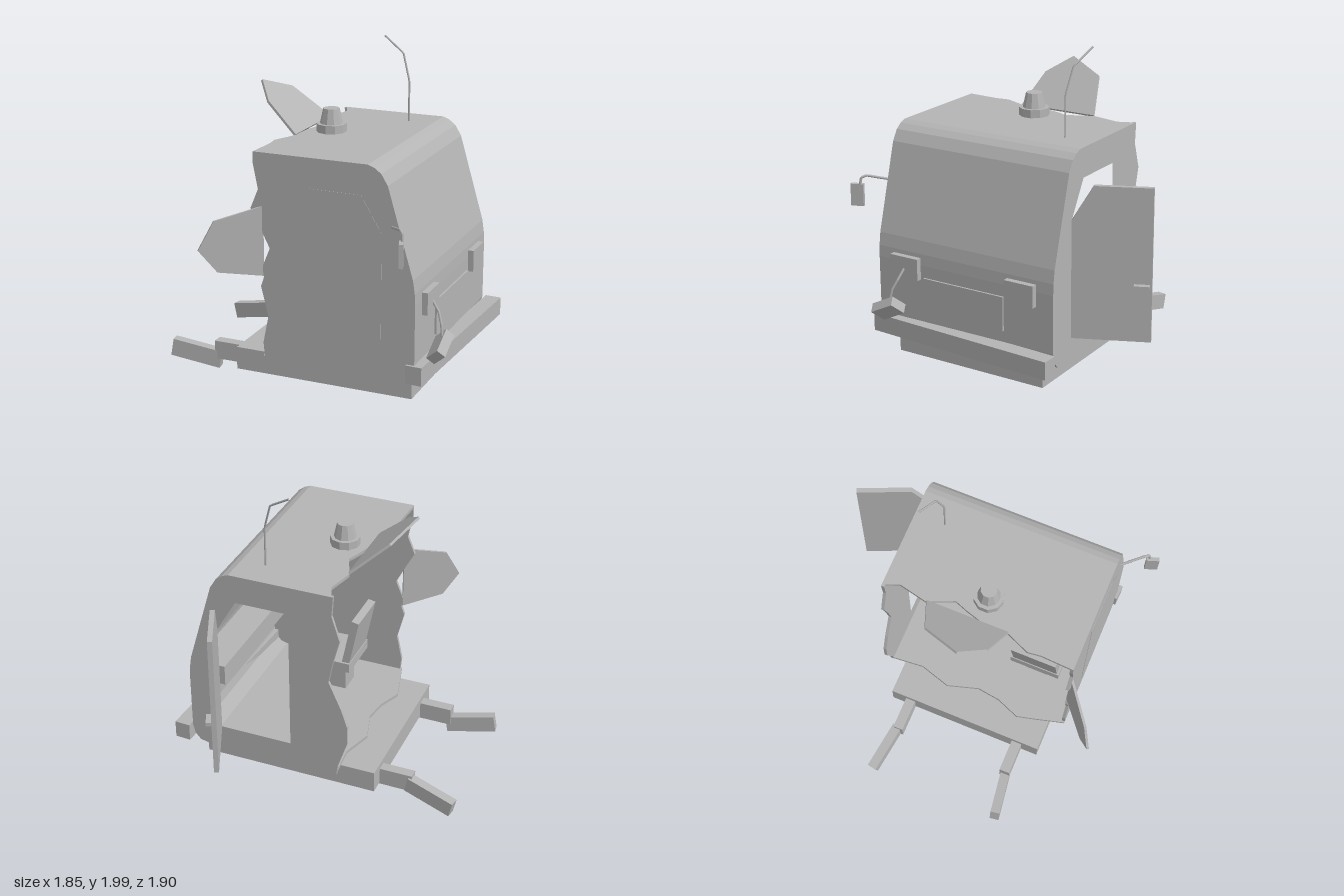
import * as THREE from 'three';

const NEAR = 0.705, FAR = -0.522, WALL = 0.02, FLOOR = 0.225, ROOF = 1.49;

export function createModel() {
  const model = new THREE.Group();
  const paint = new THREE.MeshStandardMaterial({ color: 0xb4b4b4 });
  paint.name = 'plainGrey';

  const add = (name, geometry, x = 0, y = 0, z = 0, parent = model) => {
    const mesh = new THREE.Mesh(geometry, paint);
    mesh.name = name;
    mesh.position.set(x, y, z);
    parent.add(mesh);
    return mesh;
  };
  // Box given by its limits on each axis
  const block = (name, x0, x1, y0, y1, z0, z1, parent) =>
    add(name, new THREE.BoxGeometry(x1 - x0, y1 - y0, z1 - z0),
      (x0 + x1) / 2, (y0 + y1) / 2, (z0 + z1) / 2, parent);
  const vectors = (pts) => pts.map(([a, b]) => new THREE.Vector2(a, b));
  // Upright sheet drawn in x and y
  const sheet = (pts, depth, hole) => {
    const shape = new THREE.Shape(vectors(pts));
    if (hole) shape.holes.push(new THREE.Path(vectors(hole)));
    return new THREE.ExtrudeGeometry(shape, { depth, bevelEnabled: false });
  };
  // Level sheet drawn in x and z, thickness going down
  const levelSheet = (pts, depth) => sheet(pts, depth).rotateX(Math.PI / 2);
  // Straight-sided bent rod
  const rod = (name, pts, radius) => {
    const path = new THREE.CurvePath();
    const v = pts.map((p) => new THREE.Vector3(...p));
    for (let i = 1; i < v.length; i++) path.add(new THREE.LineCurve3(v[i - 1], v[i]));
    return add(name, new THREE.TubeGeometry(path, 24, radius, 6));
  };

  // Chassis and bent frame rails
  block('chassis', -0.43, 0.70, 0.085, FLOOR, -0.42, 0.607);
  block('leftRail', -0.64, -0.075, 0.075, 0.19, 0.43, 0.497);
  block('rightRail', -0.64, -0.075, 0.075, 0.19, -0.322, -0.258);
  const bentA = add('leftRailBentEnd', new THREE.BoxGeometry(0.32, 0.11, 0.06), -0.765, 0.093, 0.488);
  bentA.rotation.set(0, 0.15, -0.17);
  const bentB = add('rightRailBentEnd', new THREE.BoxGeometry(0.32, 0.1, 0.06), -0.765, 0.09, -0.328);
  bentB.rotation.set(0, -0.17, 0.22);

  // Side walls with a torn rear edge
  const nose = [[0.46, 1.49], [0.50, 1.475], [0.54, 1.445], [0.58, 1.38], [0.735, 0.85],
    [0.747, 0.77], [0.75, 0.70], [0.75, 0.34], [0.735, 0.28], [0.70, 0.24], [0.64, FLOOR]];
  const tornNear = [[-0.19, FLOOR], [-0.20, 0.33], [-0.165, 0.5], [-0.19, 0.6], [-0.21, 0.68],
    [-0.19, 0.74], [-0.2, 0.8], [-0.15, 0.92], [-0.2, 1.02], [-0.27, 1.15], [-0.22, 1.27],
    [-0.25, 1.42], [-0.25, ROOF]];
  const tornFar = [[-0.22, FLOOR], [-0.23, 0.3], [-0.29, 0.48], [-0.29, 0.6], [-0.25, 0.72],
    [-0.17, 0.9], [-0.2, 1.05], [-0.24, 1.2], [-0.19, 1.36], [-0.2, ROOF]];
  // Door outline, measured from its hinge
  const door = [[0, 0.38], [0.463, 0.38], [0.463, 1.31], [0.125, 1.31], [0, 1.1]];
  const closedDoor = door.map(([u, y]) => [0.545 - u, y]);
  add('leftWall', sheet([...nose, ...tornNear], WALL), 0, 0, NEAR - WALL);
  add('rightWall', sheet([...nose, ...tornFar], WALL, closedDoor), 0, 0, FAR);

  // Curved nose panel, a band between outer and inner outline
  const inner = nose.map(([x, y], i) => i === 0 ? [x, y - WALL]
    : i === nose.length - 1 ? [x, y + WALL]
      : [0.2 + (x - 0.2) * 0.965, 0.85 + (y - 0.85) * 0.97]);
  add('nosePanel', sheet([...nose, ...inner.reverse()], NEAR - FAR), 0, 0, FAR);

  // Torn roof and floor
  add('roof', levelSheet([[0.46, FAR], [0.46, NEAR], [-0.25, NEAR], [-0.24, 0.5], [-0.25, 0.42],
    [-0.19, 0.28], [-0.18, 0.1], [-0.15, 0], [-0.12, -0.08], [-0.19, -0.24], [-0.15, -0.42],
    [-0.19, FAR]], WALL), 0, ROOF, 0);
  add('floor', levelSheet([[0.64, FAR], [0.64, NEAR], [-0.2, NEAR], [-0.25, 0.52], [-0.28, 0.4],
    [-0.22, 0.25], [-0.2, 0.1], [-0.26, -0.1], [-0.2, -0.3], [-0.22, FAR]], WALL), 0, FLOOR + WALL, 0);

  // Peeled-back metal flaps
  add('sideFlap', sheet([[0, 1.17], [0.29, 1.1], [0.385, 0.93], [0.275, 0.79], [0, 0.745]], 0.015),
    -0.19, 0, 0.7).rotation.y = -2.477;
  add('roofFlap', levelSheet([[0, -0.24], [0.29, -0.15], [0.41, 0.085], [0.265, 0.225], [0, 0.275]],
    0.015), -0.19, 1.485, 0).rotation.z = 2.425;

  // Open right door with handle, closed left door
  const openDoor = new THREE.Group();
  openDoor.name = 'openDoor';
  openDoor.position.set(0.545, 0, FAR);
  openDoor.rotation.y = 1.982;
  model.add(openDoor);
  add('doorPanel', sheet(door, 0.03), 0, 0, 0, openDoor);
  block('doorHandle', 0.36, 0.45, 0.71, 0.735, 0.028, 0.065, openDoor);
  add('closedDoor', sheet(closedDoor, 0.004), 0, 0, NEAR - 0.002);

  // Nose fittings
  block('leftHeadlight', 0.74, 0.785, 0.61, 0.745, 0.4, 0.595);
  block('rightHeadlight', 0.74, 0.785, 0.61, 0.745, -0.407, -0.212);
  block('grille', 0.74, 0.762, 0.412, 0.625, -0.187, 0.375);
  add('bumper', new THREE.BoxGeometry(0.1, 0.112, 1.265), 0.783, 0.285, 0.09).rotation.y = -0.052;
  rod('lampCable', [[0.78, 0.67, 0.5], [0.825, 0.61, 0.515], [0.85, 0.55, 0.54], [0.865, 0.45, 0.56]], 0.008);
  add('hangingLamp', new THREE.BoxGeometry(0.06, 0.11, 0.17), 0.856, 0.425, 0.57)
    .rotation.set(0.47, 0, -0.78);

  // Wing mirror
  rod('mirrorArm', [[0.6, 1.143, 0.695], [0.7, 1.177, 0.82], [0.722, 1.165, 0.845], [0.73, 1.08, 0.86]], 0.008);
  add('mirror', new THREE.BoxGeometry(0.025, 0.138, 0.08), 0.727, 1.055, 0.873).rotation.y = 0.34;

  // Roof beacon and aerial
  const facets = (top, bottom, height) => new THREE.CylinderGeometry(top, bottom, height, 10).toNonIndexed();
  for (const [name, top, bottom, height, y] of [
    ['beaconBase', 0.092, 0.092, 0.05, 1.515], ['beaconLamp', 0.05, 0.07, 0.092, 1.585]]) {
    const geometry = facets(top, bottom, height);
    geometry.computeVertexNormals();
    add(name, geometry, -0.03, y, 0.09);
  }
  rod('aerial', [[0.305, 1.48, -0.33], [0.305, 1.74, -0.33], [0.255, 1.905, -0.355], [0.115, 1.995, -0.4]], 0.006);

  // Seat and dashboard
  block('seatPedestal', 0.06, 0.19, 0.24, 0.44, 0.33, 0.48);
  block('seatCushion', 0, 0.25, 0.44, 0.505, 0.24, 0.57);
  add('seatBack', new THREE.BoxGeometry(0.05, 0.33, 0.3), 0.0, 0.66, 0.405).rotation.z = 0.2;
  block('dashboard', 0.52, 0.73, 0.69, 0.82, FAR + WALL, NEAR - WALL);

  return model;
}
